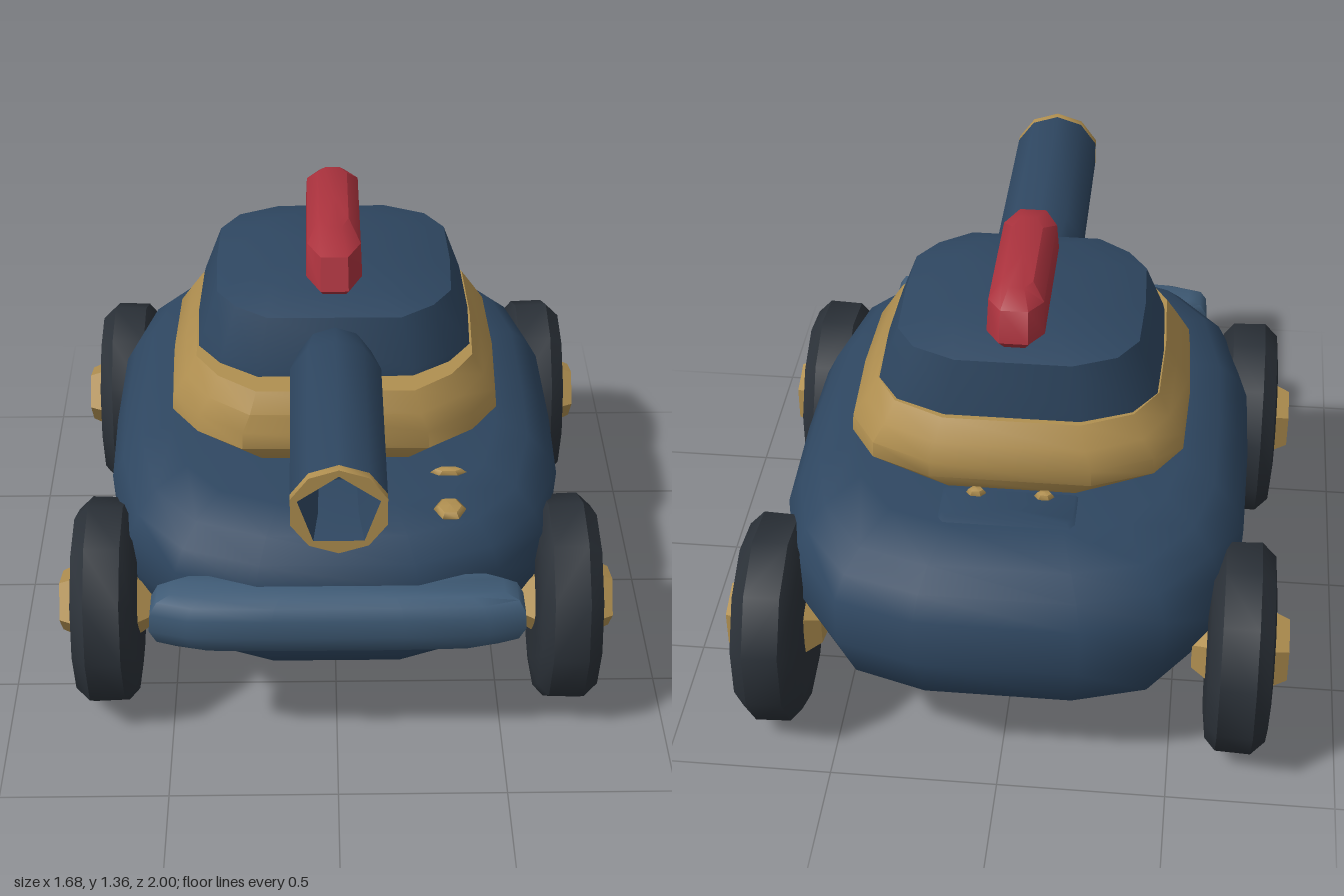
import * as THREE from 'three';
import { toCreasedNormals } from 'three/addons/utils/BufferGeometryUtils.js';

const BLUE = 0x2e4660, GOLD = 0xb08f50, RED = 0xaa323d, TYRE = 0x2a3037, STEEL = 0x3f5b76;

function mesh(name, geometry, color, crease = 0.75) {
  const m = new THREE.Mesh(toCreasedNormals(geometry, crease), new THREE.MeshStandardMaterial({ color }));
  m.name = name;
  return m;
}

// Skin a series of equal-length rings of [x, y, z], with optional end caps
function skin(rings, capStart = true, capEnd = true) {
  const n = rings[0].length, pos = rings.flat(2), idx = [];
  for (let r = 0; r < rings.length - 1; r++) {
    for (let i = 0; i < n; i++) {
      const a = r * n + i, b = r * n + (i + 1) % n, c = b + n, d = a + n;
      idx.push(a, c, b, a, d, c);
    }
  }
  const cap = (r, flip) => {
    const centre = pos.length / 3;
    for (let k = 0; k < 3; k++) pos.push(rings[r].reduce((s, p) => s + p[k], 0) / n);
    for (let i = 0; i < n; i++) {
      const a = r * n + i, b = r * n + (i + 1) % n;
      idx.push(centre, flip ? a : b, flip ? b : a);
    }
  };
  if (capStart) cap(0, true);
  if (capEnd) cap(rings.length - 1, false);
  const g = new THREE.BufferGeometry();
  g.setAttribute('position', new THREE.Float32BufferAttribute(pos, 3));
  g.setIndex(idx);
  return g;
}

// Half outline (x 0..1, z -1..1, back to front) stacked through [y, halfWidth, zBack, zFront] levels
function stack(half, levels) {
  const outline = [...half, ...half.slice().reverse().map(([x, z]) => [-x, z])];
  return skin(levels.map(([y, w, z0, z1]) =>
    outline.map(([x, z]) => [x * w, y, (z0 + z1) / 2 + z * (z1 - z0) / 2])));
}

export function createModel() {
  const model = new THREE.Group();
  model.name = 'armouredCar';

  // Hull
  const hullOutline = [[0.34, -1], [0.68, -0.92], [0.9, -0.69], [0.99, -0.42], [1, 0],
    [0.99, 0.35], [0.89, 0.7], [0.68, 0.9], [0.34, 1]];
  model.add(mesh('hull', stack(hullOutline, [
    [0.22, 0.56, -0.84, 0.65], [0.31, 0.63, -0.94, 0.73], [0.47, 0.69, -1, 0.78],
    [0.6, 0.695, -0.97, 0.785], [0.67, 0.66, -0.93, 0.76], [0.73, 0.6, -0.87, 0.7], [0.76, 0.5, -0.72, 0.58]]), BLUE, 0.9));

  // Turret: collar below, cabin above
  const turretOutline = [[0.47, -1], [0.82, -0.84], [0.98, -0.58], [1, 0], [0.98, 0.55], [0.82, 0.8], [0.55, 1]];
  model.add(mesh('turretCollar', stack(turretOutline, [
    [0.76, 0.4, -0.54, 0.35], [0.825, 0.505, -0.585, 0.395],
    [0.88, 0.5, -0.59, 0.39], [0.94, 0.46, -0.575, 0.385], [1.0, 0.425, -0.53, 0.35]]), GOLD));
  model.add(mesh('turretCabin', stack(turretOutline, [
    [0.98, 0.425, -0.515, 0.27], [1.02, 0.415, -0.512, 0.27],
    [1.17, 0.36, -0.48, 0.215], [1.21, 0.23, -0.36, 0.12]]), BLUE));

  // Roof light bar
  model.add(mesh('roofLight', stack([[0.5, -1], [1, -0.8], [1, 0.7], [0.5, 1]], [
    [1.19, 0.06, -0.43, 0.12], [1.225, 0.084, -0.465, 0.158],
    [1.32, 0.08, -0.44, 0.12], [1.36, 0.045, -0.38, 0.01]]), RED));

  // Front bumper
  model.add(mesh('bumper', stack([[0.9, -0.85], [1, -0.5], [1, 0.55], [0.8, 0.92], [0.35, 1]], [
    [0.42, 0.47, 0.72, 0.84], [0.455, 0.525, 0.71, 0.87], [0.5, 0.545, 0.71, 0.88],
    [0.56, 0.54, 0.71, 0.88], [0.595, 0.52, 0.71, 0.865], [0.612, 0.48, 0.72, 0.84]]), STEEL, 1));

  // Gun: ten-sided barrel, gold muzzle and a five-sided bore
  const SIDES = 10, GUN_Y = 1.04;
  const ring = (radius, z) => Array.from({ length: SIDES }, (_, i) => {
    const a = Math.PI / 2 - (i / SIDES) * Math.PI * 2;
    const r = typeof radius === 'function' ? radius(i) : radius;
    return [r * Math.cos(a), GUN_Y + r * Math.sin(a), typeof z === 'function' ? z(i) : z];
  });
  const pentagon = r => i => (i % 2 ? r * Math.cos(Math.PI / 5) : r);
  const seam = i => (i >= 3 && i <= 5 ? 0.88 : 0.975);
  model.add(mesh('gunBarrel', skin([ring(0.09, 0.2), ring(0.11, 0.24), ring(0.14, 0.36), ring(0.138, seam)], true, false), BLUE));
  model.add(mesh('muzzle', skin([ring(0.138, seam), ring(0.138, 1), ring(pentagon(0.118), 1)], false, false), GOLD));
  model.add(mesh('bore', skin([ring(pentagon(0.118), 1), ring(pentagon(0.095), 0.9), ring(pentagon(0.09), 0.75)], false, true), BLUE));

  // Wheels: faceted tyre with a five-sided hub running through it
  const tyreProfile = [[0.001, -0.085], [0.2, -0.098], [0.285, -0.088], [0.322, -0.055],
    [0.326, 0.05], [0.285, 0.092], [0.2, 0.1], [0.001, 0.085]].map(p => new THREE.Vector2(...p));
  for (const side of [1, -1]) {
    for (const [end, z] of [['front', 0.482], ['back', -0.675]]) {
      const wheel = new THREE.Group();
      wheel.name = end + (side > 0 ? 'Left' : 'Right') + 'Wheel';
      const tyre = mesh('tyre', new THREE.LatheGeometry(tyreProfile, 11), TYRE, 0.7);
      tyre.scale.set(1, 1, 0.95);
      tyre.rotation.z = -Math.PI / 2;
      const hub = mesh('hub', new THREE.CylinderGeometry(0.095, 0.128, 0.07, 5), GOLD, 0.4);
      hub.rotation.z = -Math.PI / 2;
      hub.position.x = 0.11;
      const inner = mesh('innerHub', new THREE.CylinderGeometry(0.125, 0.075, 0.07, 5), GOLD, 0.4);
      inner.rotation.z = -Math.PI / 2;
      inner.position.x = -0.105;
      wheel.add(tyre, hub, inner);
      wheel.position.set(side * 0.695, 0.325, z);
      // Turning by half a circle and flipping z keeps both sides mirrored
      wheel.scale.x = side;
      model.add(wheel);
    }
  }

  // Rear deck hatch with two small studs, and two studs on the front deck
  const hatch = mesh('rearHatch', stack([[0.92, -1], [1, -0.7], [1, 1]], [
    [0.7, 0.205, -0.725, -0.56], [0.755, 0.205, -0.725, -0.56], [0.767, 0.19, -0.69, -0.56]]), BLUE);
  model.add(hatch);
  const studs = [[0.33, 0.75, 0.6, 0.048, 0.055], [0.335, 0.76, 0.43, 0.055, 0.02],
    [0.1, 0.768, -0.575, 0.03, 0.02], [-0.1, 0.768, -0.575, 0.03, 0.02]];
  for (const [x, y, z, rx, rz] of studs) {
    const stud = mesh('deckStud', new THREE.SphereGeometry(1, 6, 4), GOLD);
    stud.scale.set(rx, 0.018, rz);
    stud.position.set(x, y, z);
    model.add(stud);
  }

  return model;
}
